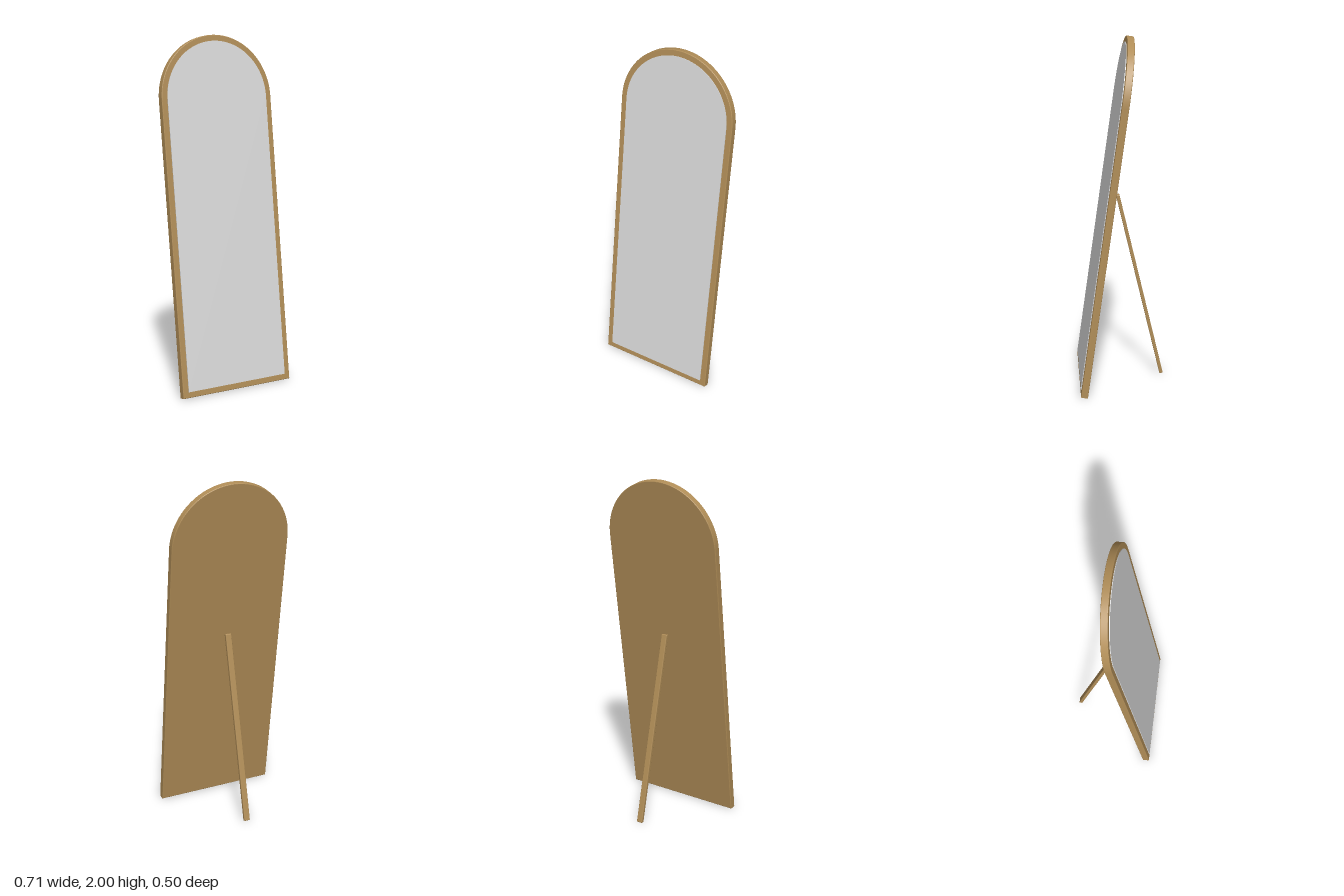
import * as THREE from 'three';
import { toCreasedNormals } from 'three/addons/utils/BufferGeometryUtils.js';
import { RoundedBoxGeometry } from 'three/addons/geometries/RoundedBoxGeometry.js';

// Arched door-like outline: straight sides, half-round top
function archShape(radius, bottom, springY) {
  const s = new THREE.Shape();
  s.moveTo(-radius, bottom);
  s.lineTo(radius, bottom);
  s.lineTo(radius, springY);
  s.absarc(0, springY, radius, 0, Math.PI, false);
  s.closePath();
  return s;
}

export function createModel() {
  const model = new THREE.Group();
  model.name = 'standingMirror';

  const gold = new THREE.MeshStandardMaterial({ color: 0xb08d57 });
  gold.name = 'antique gold';
  const silver = new THREE.MeshStandardMaterial({ color: 0xd9d9d9 });
  silver.name = 'mirror silver';

  const springY = 1.661;
  const thickness = 0.04;
  const bevel = 0.004;

  // Leaning panel, pivoted on its lower back edge
  const panel = new THREE.Group();
  panel.name = 'leaningPanel';
  panel.position.set(0, 0, 0.21);
  panel.rotation.x = -0.14;
  model.add(panel);

  // Solid frame with softened edges
  const frameGeo = new THREE.ExtrudeGeometry(archShape(0.354 - bevel, bevel, springY), {
    depth: thickness - 2 * bevel,
    bevelEnabled: true,
    bevelSize: bevel,
    bevelThickness: bevel,
    bevelSegments: 3,
    curveSegments: 48,
  });
  frameGeo.translate(0, 0, bevel);
  const frame = new THREE.Mesh(toCreasedNormals(frameGeo, 0.2), gold);
  frame.name = 'frame';
  panel.add(frame);

  // Thin mirror plate standing just proud of the frame
  const glassGeo = new THREE.ExtrudeGeometry(archShape(0.32, 0.034, springY), {
    depth: 0.006,
    bevelEnabled: false,
    curveSegments: 48,
  });
  glassGeo.translate(0, 0, thickness - 0.002);
  const glass = new THREE.Mesh(toCreasedNormals(glassGeo, 0.2), silver);
  glass.name = 'mirrorGlass';
  panel.add(glass);

  // Rear prop leg, placed between its foot and its top
  const foot = new THREE.Vector3(0, 0.004, -0.24);
  const top = new THREE.Vector3(0, 1.099, 0.019);
  const axis = top.clone().sub(foot);
  const leg = new THREE.Mesh(new RoundedBoxGeometry(0.036, axis.length(), 0.02, 3, 0.004), gold);
  leg.name = 'supportLeg';
  leg.position.copy(foot).add(top).multiplyScalar(0.5);
  leg.rotation.x = Math.atan2(axis.z, axis.y);
  model.add(leg);

  return model;
}
